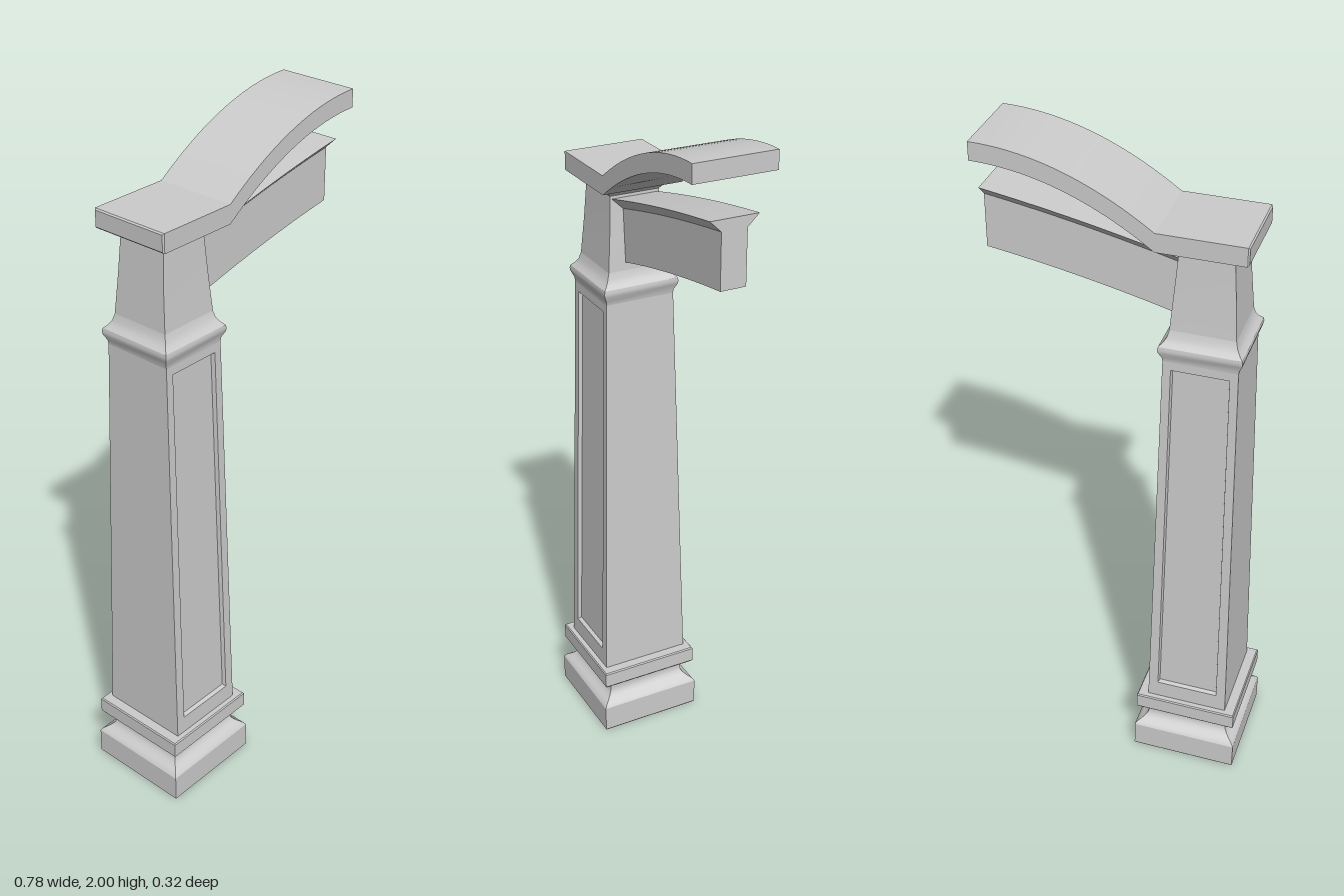
import * as THREE from 'three';
import { toCreasedNormals } from 'three/addons/utils/BufferGeometryUtils.js';

const material = new THREE.MeshStandardMaterial({ color: 0xcccccc, side: THREE.DoubleSide });
const AXIS = -0.23; // x of the column

// Skin a series of equal-length corner rings (counter-clockwise seen from the end).
function loft(name, rings, { start = false, end = false, skip = [] } = {}) {
  const pos = [];
  const tri = (...corners) => corners.forEach((p) => pos.push(...p));
  const n = rings[0].length;
  for (let i = 0; i < rings.length - 1; i++) {
    for (let k = 0; k < n; k++) {
      if (skip.includes(k)) continue;
      const a = rings[i][k], b = rings[i][(k + 1) % n];
      const c = rings[i + 1][(k + 1) % n], d = rings[i + 1][k];
      tri(a, b, c);
      tri(a, c, d);
    }
  }
  const last = rings[rings.length - 1];
  for (let k = 1; k < n - 1; k++) {
    if (start) tri(rings[0][0], rings[0][k + 1], rings[0][k]);
    if (end) tri(last[0], last[k], last[k + 1]);
  }
  const geometry = new THREE.BufferGeometry();
  geometry.setAttribute('position', new THREE.Float32BufferAttribute(pos, 3));
  const mesh = new THREE.Mesh(toCreasedNormals(geometry, THREE.MathUtils.degToRad(30)), material);
  mesh.name = name;
  return mesh;
}

// Horizontal rectangle around the column axis
const plan = ([y, hx, hz = hx]) =>
  [[hx, hz], [hx, -hz], [-hx, -hz], [-hx, hz]].map(([x, z]) => [AXIS + x, y, z]);

// Upright rectangle across the arm
const slice = (x, bottom, top, hz) =>
  [[bottom, hz], [bottom, -hz], [top, -hz], [top, hz]].map(([y, z]) => [x, y, z]);

export function createModel() {
  const group = new THREE.Group();

  // Plinth with a scooped neck and a square band, open underneath
  const base = [
    [0, 0.157], [0.004, 0.16], [0.085, 0.16], [0.093, 0.155], [0.1, 0.145], [0.108, 0.135],
    [0.118, 0.127], [0.13, 0.124], [0.143, 0.125], [0.15, 0.131], [0.155, 0.143], [0.163, 0.152],
    [0.167, 0.155], [0.212, 0.155], [0.216, 0.152], [0.216, 0.123, 0.137],
  ];
  group.add(loft('base', base.map(plan)));

  // Tapered shaft: plain left and right faces
  const y0 = 0.216, y1 = 1.44, x0 = 0.123, x1 = 0.104, z0 = 0.137, z1 = 0.105;
  group.add(loft('shaftSides', [plan([y0, x0, z0]), plan([y1, x1, z1])], { skip: [1, 3] }));

  // Recessed panels on the front and back faces of the shaft
  const faceZ = (y) => THREE.MathUtils.mapLinear(y, y0, y1, z0, z1);
  const panelRing = (yb, hb, yt, ht, depth) =>
    [[-hb, yb], [hb, yb], [ht, yt], [-ht, yt]].map(([x, y]) => [x, y, faceZ(y) - depth]);
  for (const [name, turn] of [['frontPanel', 0], ['backPanel', Math.PI]]) {
    const panel = loft(name, [
      panelRing(y0, x0, y1, x1, 0),
      panelRing(0.27, 0.093, 1.415, 0.081, 0),
      panelRing(0.274, 0.09, 1.411, 0.078, 0.012),
    ], { end: true });
    panel.position.x = AXIS;
    panel.rotation.y = turn;
    group.add(panel);
  }

  // Collar moulding, narrow neck and flare under the cap
  const collar = [
    [1.44, 0.104, 0.105], [1.452, 0.106], [1.468, 0.114], [1.478, 0.116], [1.488, 0.114],
    [1.498, 0.104], [1.51, 0.096], [1.53, 0.091, 0.09],
  ];
  group.add(loft('collar', collar.map(plan)));
  const neck = [
    [1.53, 0.091, 0.09], [1.64, 0.083, 0.081], [1.745, 0.075], [1.752, 0.08],
    [1.759, 0.09], [1.766, 0.098], [1.772, 0.1],
  ];
  group.add(loft('neck', neck.map(plan)));

  // Flat cap continuing into the rising arched arm
  const steps = 18;
  const armRings = [slice(-0.35, 1.775, 1.821, 0.116), slice(-0.346, 1.771, 1.825, 0.12)];
  for (let i = 0; i <= steps; i++) {
    const t = i / steps, rise = 1 - (1 - t) ** 2;
    armRings.push(slice(-0.105 + 0.492 * t, 1.771 + 0.177 * rise, 1.825 + 0.175 * rise, 0.12));
  }
  group.add(loft('capAndArm', armRings, { start: true, end: true }));

  // Lower beam with flared top edges
  const beamRings = [];
  for (let i = 0; i <= steps; i++) {
    const x = -0.17 + (0.557 * i) / steps, t = (x + 0.15) / 0.537;
    const top = 1.738 + 0.11 * (1.25 * t - 0.25 * t * t);
    const bottom = 1.55 + 0.11 * (1.3 * t - 0.3 * t * t);
    beamRings.push([
      [top - 0.032, 0.037], [bottom, 0.037], [bottom, -0.037],
      [top - 0.032, -0.037], [top, -0.07], [top, 0.07],
    ].map(([y, z]) => [x, y, z]));
  }
  group.add(loft('beam', beamRings, { start: true, end: true }));

  return group;
}
